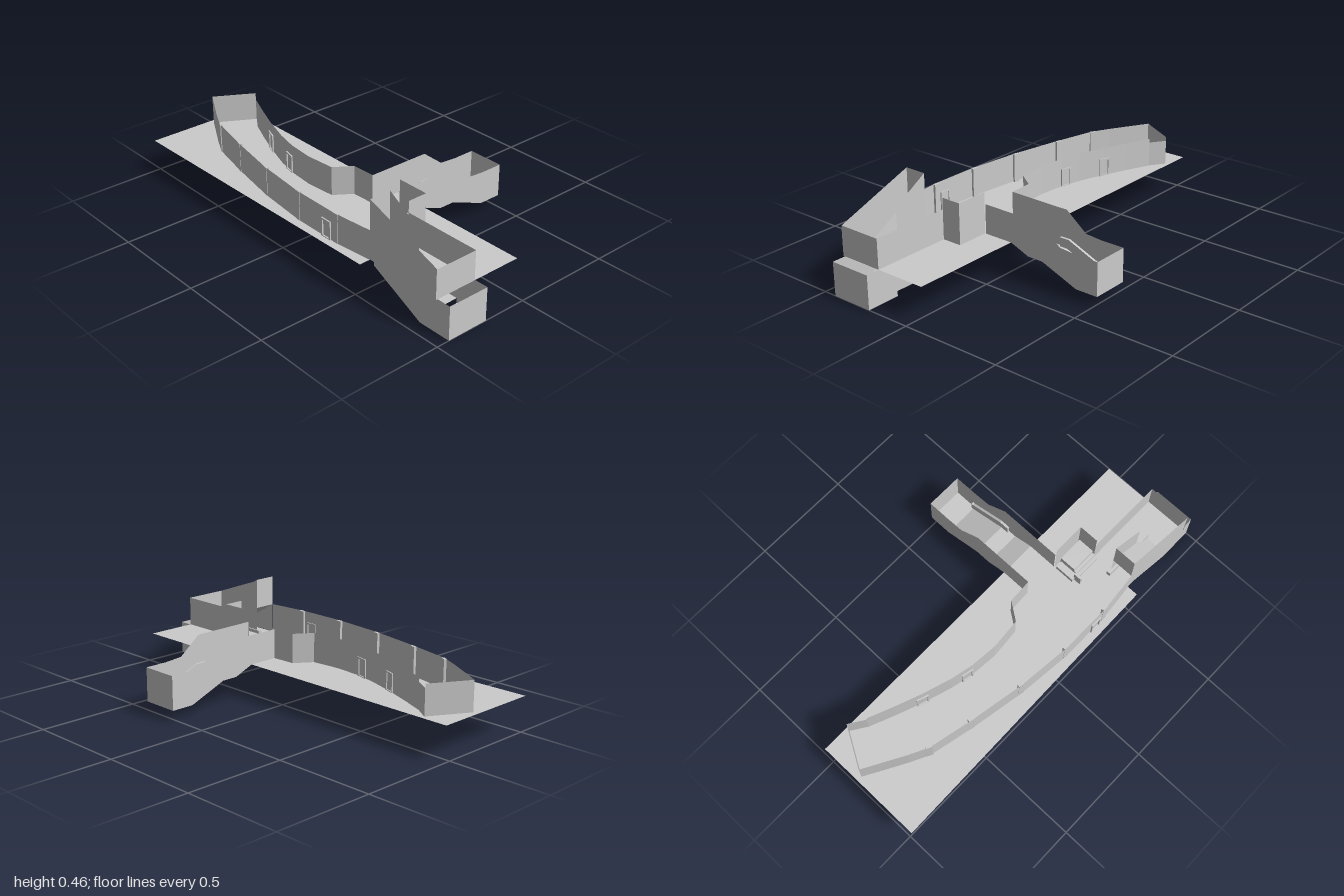
import * as THREE from 'three';

const FLOOR = 0.165, TOP = 0.31;
const grey = new THREE.MeshStandardMaterial({ color: 0xcccccc, side: THREE.DoubleSide, flatShading: true });

export function createModel() {
  const model = new THREE.Group();

  const add = (name, geometry) => {
    const mesh = new THREE.Mesh(geometry, grey);
    mesh.name = name;
    model.add(mesh);
    return mesh;
  };

  // Flat outline placed in space by a mapping from (a, b) to [x, y, z]
  const panel = (name, outline, place) => {
    const g = new THREE.ShapeGeometry(new THREE.Shape(outline.map(p => new THREE.Vector2(...p))));
    const pos = g.attributes.position;
    for (let i = 0; i < pos.count; i++) pos.setXYZ(i, ...place(pos.getX(i), pos.getY(i)));
    g.computeVertexNormals();
    return add(name, g);
  };

  // Thin upright wall along a plan path of [x, z]
  const wall = (name, path, y0 = FLOOR, y1 = TOP) => {
    const v = [], idx = [];
    path.forEach(([x, z], i) => {
      v.push(x, y0, z, x, y1, z);
      if (i) { const k = 2 * i; idx.push(k - 2, k, k - 1, k - 1, k, k + 1); }
    });
    const g = new THREE.BufferGeometry();
    g.setAttribute('position', new THREE.Float32BufferAttribute(v, 3));
    g.setIndex(idx);
    const flat = g.toNonIndexed();
    flat.computeVertexNormals();
    return add(name, flat);
  };

  // Floor strip swept between two edges, following a profile of points
  const strip = (name, profile, placeA, placeB) => {
    for (let i = 1; i < profile.length; i++) {
      const [p, q] = [profile[i - 1], profile[i]];
      const g = new THREE.BufferGeometry();
      g.setAttribute('position', new THREE.Float32BufferAttribute(
        [placeA(...p), placeB(...p), placeA(...q), placeA(...q), placeB(...p), placeB(...q)].flat(), 3));
      g.computeVertexNormals();
      add(name, g);
    }
  };

  const box = (name, w, h, d, x, y, z, turn = 0) => {
    const m = add(name, new THREE.BoxGeometry(w, h, d));
    m.position.set(x, y, z);
    m.rotation.y = turn;
    return m;
  };

  // Main floor plate
  panel('mainFloor', [[-0.52, -1], [0.03, -1], [0.03, 0.93], [-0.44, 0.93], [-0.44, 0.53], [-0.5, 0.53]],
    (x, z) => [x, FLOOR, z]);

  // Curved hall: outer wall, slanted end, inner wall
  const outer = [[-0.18, -0.975], [-0.29, -0.78], [-0.335, -0.69], [-0.385, -0.47], [-0.435, -0.2],
    [-0.463, 0.07], [-0.465, 0.33], [-0.445, 0.53]];
  const inner = [[-0.04, -0.79], [-0.09, -0.67], [-0.14, -0.54], [-0.185, -0.4], [-0.21, -0.29],
    [-0.222, -0.15], [-0.21, 0], [-0.125, 0.06], [-0.12, 0.18]];
  wall('outerHallWall', outer);
  wall('innerHallWall', inner);
  wall('hallEndWall', [[-0.18, -0.975], [0.01, -0.865]]);
  wall('hallEndReturn', [[0.01, -0.865], [-0.04, -0.79]], FLOOR, 0.29);

  // Pilasters at the bends of the outer wall
  for (let i = 2; i < 7; i++) {
    const [x, z] = outer[i], [px, pz] = outer[i - 1];
    box('pilaster', 0.014, TOP - FLOOR, 0.03, x + 0.006, (TOP + FLOOR) / 2, z, Math.atan2(x - px, z - pz));
  }

  // Door frames on the inner wall
  const frame = (x, z, turn) => {
    const s = new THREE.Shape([[-0.03, 0], [0.03, 0], [0.03, 0.09], [-0.03, 0.09]].map(p => new THREE.Vector2(...p)));
    s.holes.push(new THREE.Path([[-0.022, 0.004], [-0.022, 0.082], [0.022, 0.082], [0.022, 0.004]]
      .map(p => new THREE.Vector2(...p))));
    const m = add('doorFrame', new THREE.ExtrudeGeometry(s, { depth: 0.012, bevelEnabled: false }).translate(0, 0, -0.006));
    m.position.set(x, FLOOR, z);
    m.rotation.y = turn;
  };
  frame(-0.14, -0.54, Math.PI / 2 - 0.36);
  frame(-0.205, -0.315, Math.PI / 2 - 0.22);
  frame(-0.465, 0.27, Math.PI / 2);

  // Side passage: two stepped walls, sloping floor and closed end
  const Z0 = 0.18, Z1 = 0.365;
  const low = [[-0.12, FLOOR], [0.03, FLOOR], [0.13, 0.125], [0.21, 0.125], [0.4, 0.05], [0.515, 0.05]];
  const high = [[0.515, 0.215], [0.4, 0.215], [0.31, 0.222], [0.2, 0.308], [-0.12, TOP]];
  for (const z of [Z0, Z1]) panel('sidePassageWall', [...low, ...high], (x, y) => [x, y, z]);
  strip('sidePassageFloor', low.slice(1), (x, y) => [x, y, Z1], (x, y) => [x, y, Z0]);
  wall('sidePassageEnd', [[0.515, Z1], [0.515, Z0]], 0.05, 0.215);

  // Sloped side rails in the passage
  const rail = new THREE.Shape([[0.17, 0.125], [0.21, 0.125], [0.4, 0.05], [0.41, 0.05], [0.41, 0.095],
    [0.4, 0.095], [0.22, 0.17], [0.17, 0.17]].map(p => new THREE.Vector2(...p)));
  for (const z of [Z0, Z1 - 0.012]) {
    add('passageRail', new THREE.ExtrudeGeometry(rail, { depth: 0.012, bevelEnabled: false })).position.z = z;
  }

  // Tall corner booth with a stepped bench inside
  wall('boothWall', [[-0.125, Z1], [-0.125, 0.53], [-0.225, 0.53]], FLOOR, 0.367);
  [[0.115, 0.02], [0.1, 0.04], [0.085, 0.06]].forEach(([w, h]) =>
    box('benchStep', w, h, 0.13, -0.13 - w / 2, FLOOR + h / 2, 0.465));
  box('benchFront', 0.1, 0.025, 0.035, -0.185, FLOOR + 0.0125, 0.383);
  box('boothStub', 0.04, 0.06, 0.012, -0.25, FLOOR + 0.03, 0.388);

  // Front stairwell going up
  wall('stairRoomWall', [[-0.445, 0.93], [-0.225, 0.93], [-0.225, 0.53]]);
  panel('stairOuterWall', [[0.93, FLOOR], [0.93, TOP], [0.53, 0.457], [0.53, FLOOR]], (z, y) => [-0.443, y, z]);
  panel('stairInnerWall', [[0.71, FLOOR], [0.71, 0.35], [0.53, 0.457], [0.53, FLOOR]], (z, y) => [-0.333, y, z]);
  wall('stairTopWall', [[-0.443, 0.53], [-0.333, 0.53]], TOP, 0.457);
  strip('upperRamp', [[0.78, FLOOR], [0.53, TOP]], (z, y) => [-0.443, y, z], (z, y) => [-0.333, y, z]);
  box('stairKerb', 0.02, 0.03, 0.28, -0.335, FLOOR + 0.015, 0.65);

  // Lower room beneath the stairwell
  const XL = -0.435, XR = -0.222;
  panel('lowerRoomWall', [[1, FLOOR], [1, 0], [0.83, 0], [0.83, 0.025], [0.545, 0.025], [0.545, FLOOR]],
    (z, y) => [XR, y, z]);
  panel('lowerRoomWall', [[1, FLOOR], [1, 0], [0.83, 0], [0.545, 0.14], [0.545, FLOOR]], (z, y) => [XL, y, z]);
  wall('lowerRoomFront', [[XL, 1], [XR, 1]], 0, FLOOR);
  strip('lowerRoomFloor', [[1, 0], [0.83, 0]], (z, y) => [XL, y, z], (z, y) => [XR, y, z]);
  strip('lowerLanding', [[0.83, 0.025], [0.545, 0.025]], (z, y) => [-0.33, y, z], (z, y) => [XR, y, z]);
  strip('lowerRamp', [[0.83, 0.003], [0.545, 0.14]], (z, y) => [XL, y, z], (z, y) => [-0.33, y, z]);
  wall('lowerRoomBack', [[-0.33, 0.545], [XR, 0.545]], 0.025, FLOOR);

  return model;
}
